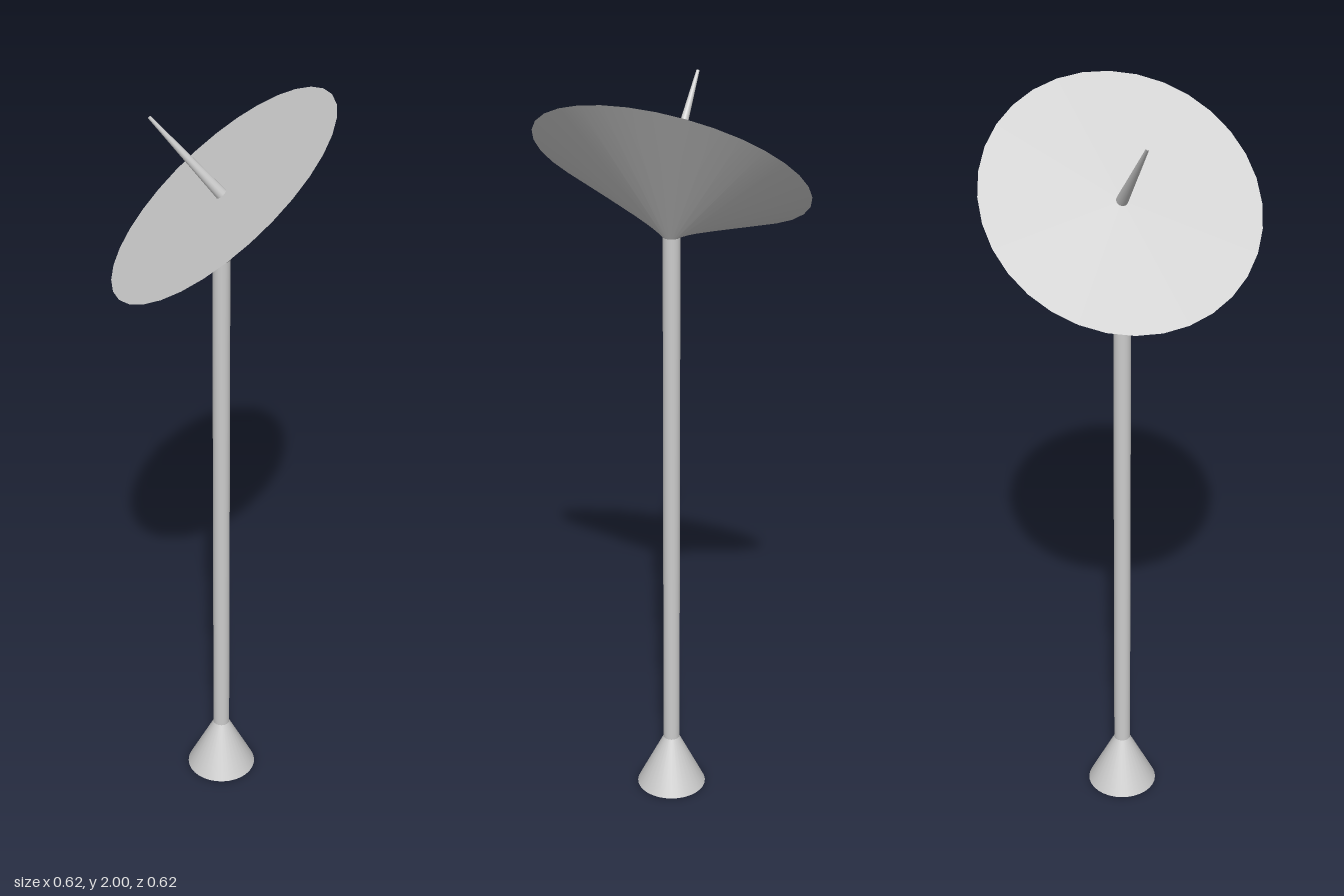
import * as THREE from 'three';

const material = new THREE.MeshStandardMaterial({ color: 0xcccccc });
const POLE_TOP = 1.6, POLE_R = 0.022;
const DISH_Y = 1.775, DISH_R = 0.35;
const UP = new THREE.Vector3(0, 1, 0);
const AIM = new THREE.Vector3(-0.45, 0.766, -0.46).normalize();
const TILT = new THREE.Quaternion().setFromUnitVectors(UP, AIM);

function add(group, name, geometry) {
  const mesh = new THREE.Mesh(geometry, material);
  mesh.name = name;
  group.add(mesh);
  return mesh;
}

// Funnel whose foot ring stays level on the pole while its rim and flat lid tilt
function dishGeometry() {
  const geometry = new THREE.CylinderGeometry(DISH_R, POLE_R, 1, 32, 1);
  const position = geometry.attributes.position;
  const v = new THREE.Vector3();
  for (let i = 0; i < position.count; i++) {
    v.fromBufferAttribute(position, i);
    const isRim = v.y > 0;
    v.y = 0;
    if (isRim) v.applyQuaternion(TILT);
    v.y += isRim ? DISH_Y : POLE_TOP;
    position.setXYZ(i, v.x, v.y, v.z);
  }
  geometry.computeVertexNormals();
  return geometry;
}

export function createModel() {
  const model = new THREE.Group();
  model.name = 'dishAntenna';

  // Flared foot and slender pole
  const footHeight = 0.145;
  add(model, 'foot', new THREE.CylinderGeometry(POLE_R, 0.093, footHeight, 32))
    .position.y = footHeight / 2;
  const poleHeight = POLE_TOP - footHeight;
  add(model, 'pole', new THREE.CylinderGeometry(POLE_R, POLE_R, poleHeight, 32))
    .position.y = footHeight + poleHeight / 2;

  // Tilted dish
  add(model, 'dish', dishGeometry());

  // Tapered feed spike, square to the lid
  const spikeLength = 0.26;
  const spike = add(model, 'spike', new THREE.CylinderGeometry(0.004, 0.015, spikeLength, 16));
  spike.quaternion.copy(TILT);
  spike.position.set(0, DISH_Y, 0).addScaledVector(AIM, spikeLength / 2);

  return model;
}
